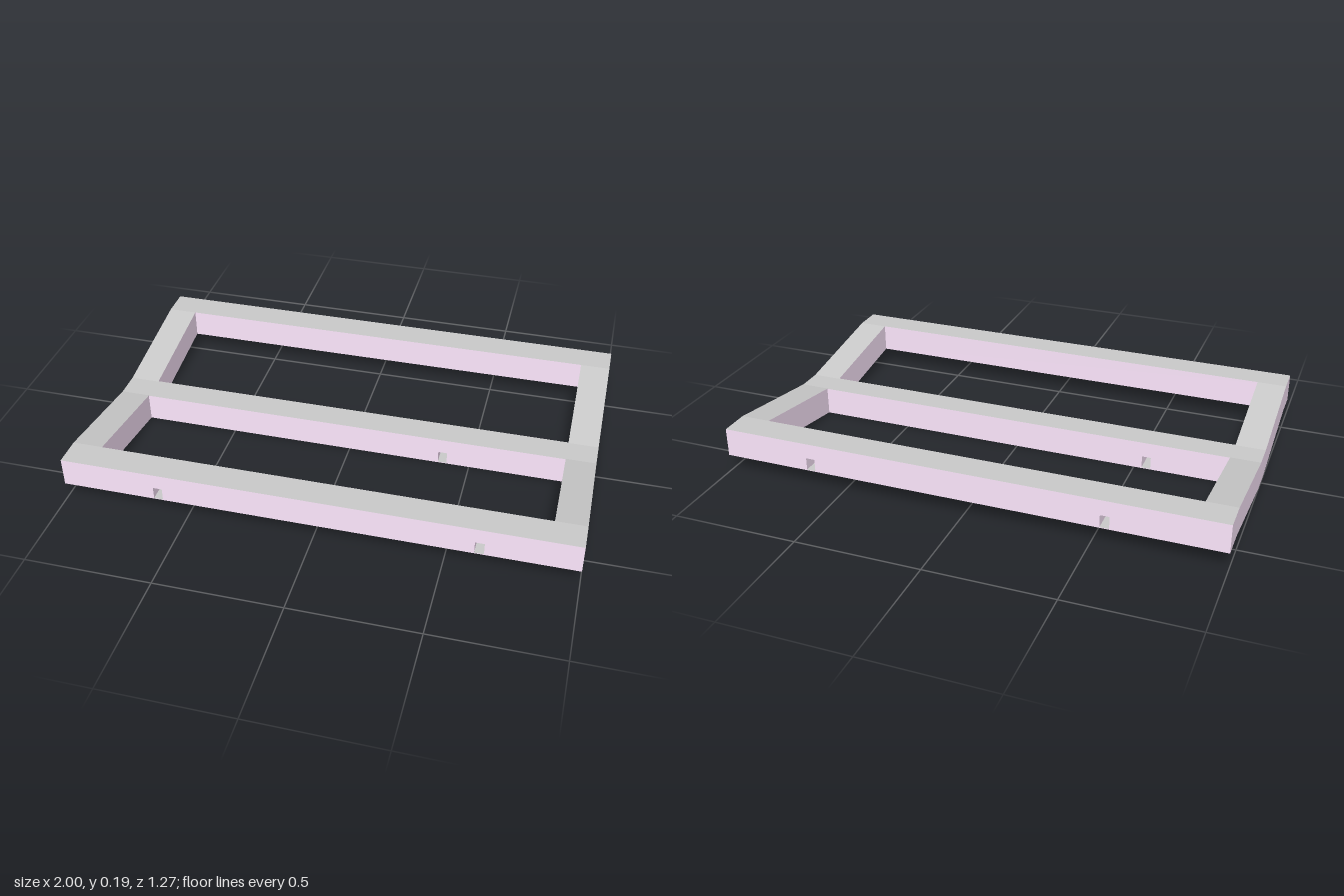
import * as THREE from 'three';

const side = new THREE.MeshStandardMaterial({ color: 0xffe8ff });
const grey = new THREE.MeshStandardMaterial({ color: 0xcccccc });
const boxMaterials = [side, side, grey, grey, side, side]; // +x -x +y -y +z -z

const HEIGHT = 0.115, RISE = 0.07, INNER_X = 0.88;
const POCKET = { width: 0.036, height: 0.05, depth: 0.09, lift: 0.003 };

function addMesh(parent, name, geometry, material) {
  const mesh = new THREE.Mesh(geometry, material);
  mesh.name = name;
  parent.add(mesh);
  return mesh;
}

// Keep only the first faces of a box, in the order +x -x +y -y +z -z
function boxFaces(w, h, d, count) {
  const geo = new THREE.BoxGeometry(w, h, d);
  geo.setIndex(Array.from(geo.index.array).slice(0, count * 6));
  geo.groups.length = count;
  return geo;
}

// Upright face with blind pockets; faces +z before it is turned
function makeWall(halfWidth, pockets) {
  const wall = new THREE.Group();
  wall.name = 'railWall';
  const { width, height, depth, lift } = POCKET;
  const outline = new THREE.Shape([
    new THREE.Vector2(-halfWidth, 0), new THREE.Vector2(halfWidth, 0),
    new THREE.Vector2(halfWidth, HEIGHT), new THREE.Vector2(-halfWidth, HEIGHT),
  ]);
  for (const x of pockets) {
    const l = x - width / 2, r = x + width / 2;
    outline.holes.push(new THREE.Path([
      new THREE.Vector2(l, lift), new THREE.Vector2(l, lift + height),
      new THREE.Vector2(r, lift + height), new THREE.Vector2(r, lift),
    ]));
    // Box turned inside out and open towards +z
    const inside = boxFaces(width, height, depth, 5).scale(-1, -1, -1);
    addMesh(wall, 'pocket', inside, boxMaterials).position.set(x, lift + height / 2, -depth / 2);
  }
  addMesh(wall, 'wallFace', new THREE.ShapeGeometry(outline), side);
  return wall;
}

// Cross rail between two z positions; pocket positions are given in model x
function makeRail(name, z0, z1, y, halfWidth, frontPockets, backPockets) {
  const rail = new THREE.Group();
  rail.name = name;
  addMesh(rail, 'railBody', boxFaces(2 * halfWidth, HEIGHT, z1 - z0, 4), boxMaterials)
    .position.set(0, y + HEIGHT / 2, (z0 + z1) / 2);
  const front = makeWall(halfWidth, frontPockets);
  front.position.set(0, y, z1);
  const back = makeWall(halfWidth, backPockets.map((x) => -x));
  back.rotation.y = Math.PI;
  back.position.set(0, y, z0);
  rail.add(front, back);
  return rail;
}

// Shallow V-shaped beam joining the cross rails
function makeSideBeam(name, x) {
  const lower = [[-0.515, RISE], [-0.045, 0], [0.06, 0], [0.52, RISE]];
  const upper = lower.map(([z, y]) => [z, y + HEIGHT]).reverse();
  const profile = new THREE.Shape([...lower, ...upper].map(([z, y]) => new THREE.Vector2(-z, y)));
  const geo = new THREE.ExtrudeGeometry(profile, { depth: 1 - INNER_X, bevelEnabled: false });
  geo.rotateY(Math.PI / 2); // profile runs along z, thickness along x
  const beam = new THREE.Mesh(geo, [side, grey]);
  beam.name = name;
  beam.position.x = x;
  return beam;
}

export function createModel() {
  const model = new THREE.Group();
  model.name = 'foldedFrame';
  model.add(
    makeRail('frontRail', 0.52, 0.635, RISE, 1, [-0.61, 0.63], []),
    makeRail('middleRail', -0.048, 0.063, 0, INNER_X, [0.39], [-0.55]),
    makeRail('backRail', -0.635, -0.515, RISE, 1, [], [-0.55, 0.63]),
    makeSideBeam('leftBeam', INNER_X),
    makeSideBeam('rightBeam', -1),
  );
  return model;
}
